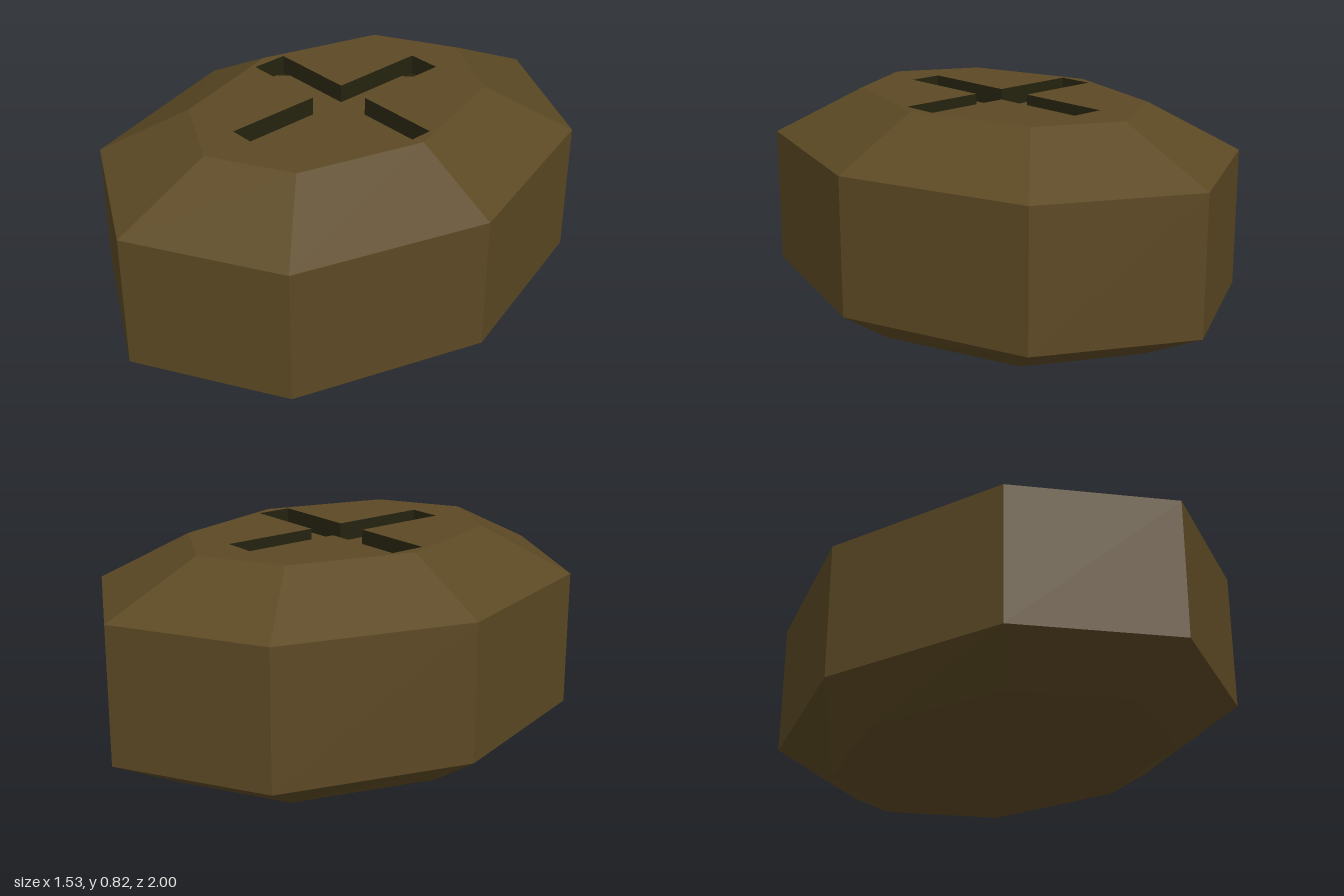
import * as THREE from 'three';

const TOP = 0.825, DEPTH = 0.07;

// Eight-sided outline: x radius, z radius, diagonal corner x and z
function octagon(a, b, cx, cz) {
  return [[a, 0], [cx, cz], [0, b], [-cx, cz], [-a, 0], [-cx, -cz], [0, -b], [cx, -cz]];
}

// Flat strip of quads joining two closed outlines
function band(lower, y0, upper, y1) {
  const pos = [];
  lower.forEach(([x, z], i) => {
    const j = (i + 1) % lower.length;
    const a = [x, y0, -z], b = [lower[j][0], y0, -lower[j][1]];
    const c = [upper[j][0], y1, -upper[j][1]], d = [upper[i][0], y1, -upper[i][1]];
    pos.push(...a, ...b, ...c, ...a, ...c, ...d);
  });
  const g = new THREE.BufferGeometry();
  g.setAttribute('position', new THREE.Float32BufferAttribute(pos, 3));
  g.computeVertexNormals();
  return g;
}

const toShape = pts => new THREE.Shape(pts.map(p => new THREE.Vector2(p[0], p[1])));

function flat(shape, y, down = false) {
  return new THREE.ShapeGeometry(shape).rotateX(down ? Math.PI / 2 : -Math.PI / 2).translate(0, y, 0);
}

// Cross outline; c cuts the corners at the arm ends
function cross(lx, lz, wx, wz, c = 0) {
  const quarter = c
    ? [[lx, wz - c], [lx - c, wz], [wx, wz], [wx, lz - c], [wx - c, lz]]
    : [[lx, wz], [wx, wz], [wx, lz]];
  const flip = (sx, sz) => quarter.map(([x, z]) => [x * sx, z * sz]);
  return [...quarter, ...flip(-1, 1).reverse(), ...flip(-1, -1), ...flip(1, -1).reverse()];
}

export function createModel() {
  const group = new THREE.Group();
  const brown = new THREE.MeshStandardMaterial({ color: 0x5c4924, flatShading: true });
  brown.name = 'brown';
  const dark = new THREE.MeshStandardMaterial({ color: 0x25230f, flatShading: true, side: THREE.DoubleSide });
  dark.name = 'dark olive';

  const add = (name, geometry, material) => {
    const mesh = new THREE.Mesh(geometry, material);
    mesh.name = name;
    group.add(mesh);
  };

  const base = octagon(0.57, 0.74, 0.4, 0.525);
  const rim = octagon(0.765, 1, 0.54, 0.707);
  const crown = octagon(0.44, 0.625, 0.3, 0.465);
  const slot = cross(0.4, 0.445, 0.065, 0.07);

  // Faceted body
  add('lowerBevel', band(base, 0, rim, 0.13), brown);
  add('sideWall', band(rim, 0.13, rim, 0.647), brown);
  add('upperBevel', band(rim, 0.647, crown, TOP), brown);
  add('bottom', flat(toShape(base), 0, true), brown);

  // Top face with a cross cut out
  const top = toShape(crown);
  top.holes.push(toShape(slot));
  add('topFace', flat(top, TOP), brown);

  // Recessed cross: dark walls and bed, brown floor with cut corners
  add('slotWalls', band(slot, TOP - DEPTH - 0.006, slot, TOP), dark);
  add('slotBed', flat(toShape(slot), TOP - DEPTH - 0.006), dark);
  add('slotFloor', flat(toShape(cross(0.398, 0.425, 0.065, 0.07, 0.038)), TOP - DEPTH), brown);

  return group;
}
